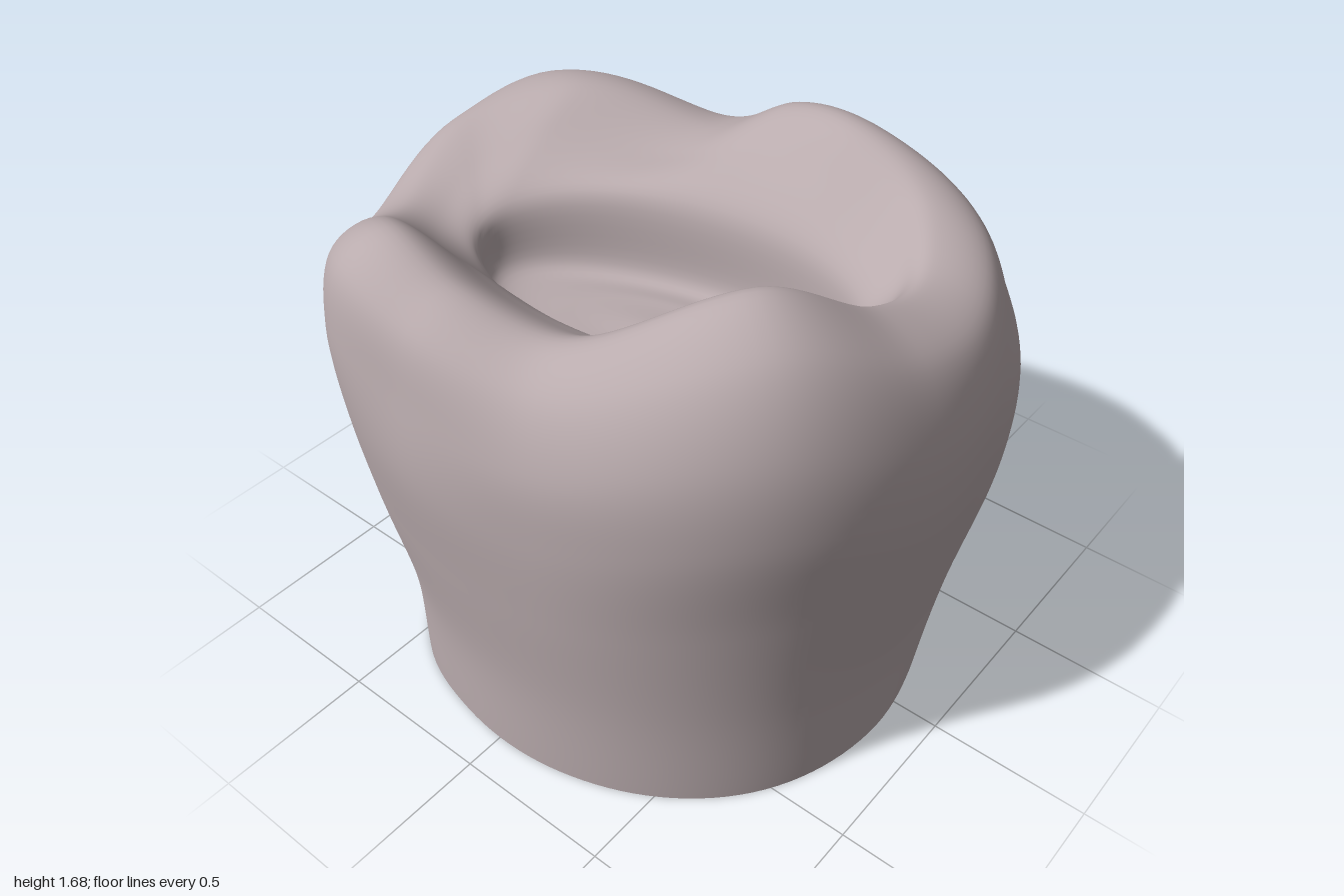
import * as THREE from 'three';

// Heights of the outer sections, as fractions of the rim height
const LEVELS = [0, 0.22, 0.45, 0.66, 0.82, 0.95, 1];

// One column per cusp or valley: angle (from +x towards +z), radius at each level, rim height
const COLUMNS = [
  [10, 0.87, 0.89, 0.95, 1.0, 0.99, 0.91, 0.74, 1.51],
  [38, 0.9, 0.92, 0.97, 1.03, 1.02, 0.92, 0.74, 1.68],
  [76, 0.88, 0.89, 0.92, 0.94, 0.93, 0.85, 0.7, 1.47],
  [100, 0.87, 0.88, 0.93, 0.97, 0.95, 0.9, 0.75, 1.53],
  [119, 0.87, 0.88, 0.95, 1.0, 1.01, 0.96, 0.8, 1.59],
  [152, 0.8, 0.82, 0.89, 0.95, 0.97, 0.94, 0.83, 1.37],
  [180, 0.8, 0.82, 0.89, 0.95, 0.995, 0.96, 0.86, 1.45],
  [203, 0.82, 0.85, 0.92, 0.99, 1.01, 0.93, 0.7, 1.54],
  [242, 0.82, 0.87, 0.93, 0.92, 0.85, 0.69, 0.5, 1.46],
  [272, 0.8, 0.88, 0.955, 0.89, 0.77, 0.62, 0.48, 1.59],
  [300, 0.81, 0.9, 0.99, 0.96, 0.84, 0.67, 0.52, 1.62],
  [329, 0.81, 0.89, 0.98, 0.99, 0.92, 0.83, 0.67, 1.54],
  [350, 0.83, 0.87, 0.93, 0.97, 0.96, 0.89, 0.73, 1.46],
];

const AROUND = 144;
const UP = 90;

// Column wrapped around the full circle, so that neighbours always exist
function columnAt(i) {
  const n = COLUMNS.length;
  const turn = Math.floor(i / n);
  const [degrees, ...values] = COLUMNS[i - turn * n];
  return { degrees: degrees + 360 * turn, values };
}

// Smooth interpolation of the column values at any angle
function valuesAt(degrees) {
  let i = -1;
  while (columnAt(i + 1).degrees <= degrees) i++;
  const [p, a, b, q] = [i - 1, i, i + 1, i + 2].map(columnAt);
  const span = b.degrees - a.degrees;
  const t = (degrees - a.degrees) / span;
  return a.values.map((va, k) => {
    const vb = b.values[k];
    const ta = (vb - p.values[k]) / (b.degrees - p.degrees) * span;
    const tb = (q.values[k] - va) / (q.degrees - a.degrees) * span;
    return va + t * (ta + t * (3 * (vb - va) - 2 * ta - tb + t * (2 * (va - vb) + ta + tb)));
  });
}

// Point on the tilted oval of the chewing basin
function basinPoint(angle, scale, y) {
  const a = 0.58 * scale * Math.cos(angle);
  const b = 0.25 * scale * Math.sin(angle);
  return new THREE.Vector3(0.02 + 0.976 * a + 0.215 * b, y, 0.12 - 0.215 * a + 0.976 * b);
}

// Smooth profile at one angle: up the wall, over the rim, down into the basin
function profileAt(degrees) {
  const angle = THREE.MathUtils.degToRad(degrees);
  const values = valuesAt(degrees);
  const rimHeight = values[LEVELS.length];
  const points = LEVELS.map((t, i) => new THREE.Vector3(
    values[i] * Math.cos(angle), t * rimHeight, values[i] * Math.sin(angle)));
  const edge = basinPoint(angle, 1.02, 1.3 - 0.08 * Math.sin(angle));
  const slope = points[points.length - 1].clone().lerp(edge, 0.5);
  slope.y += 0.02;
  points.push(slope, edge, basinPoint(angle, 0.92, 1.13), basinPoint(angle, 0.5, 1.11), basinPoint(angle, 0, 1.12));
  return new THREE.CatmullRomCurve3(points, false, 'catmullrom', 0.5).getPoints(UP);
}

function crownGeometry(grid) {
  const positions = [];
  const indices = [];
  for (let i = 0; i <= UP; i++) {
    for (let j = 0; j < AROUND; j++) positions.push(...grid[j][i].toArray());
  }
  for (let i = 0; i < UP; i++) {
    for (let j = 0; j < AROUND; j++) {
      const k = (j + 1) % AROUND;
      const a = i * AROUND + j;
      const b = i * AROUND + k;
      indices.push(a, a + AROUND, b);
      if (i < UP - 1) indices.push(b, a + AROUND, b + AROUND);
    }
  }
  const geometry = new THREE.BufferGeometry();
  geometry.setAttribute('position', new THREE.Float32BufferAttribute(positions, 3));
  geometry.setIndex(indices);
  geometry.computeVertexNormals();
  return geometry;
}

export function createModel() {
  const model = new THREE.Group();
  model.name = 'molar';
  const grid = Array.from({ length: AROUND }, (_, j) => profileAt(j * 360 / AROUND));

  // Crown with cusps and chewing basin
  const crown = new THREE.Mesh(crownGeometry(grid), new THREE.MeshStandardMaterial({ color: 0xb9abad }));
  crown.name = 'crown';
  model.add(crown);

  // Flat cut underneath
  const outline = new THREE.Shape(grid.map((profile) => new THREE.Vector2(profile[0].x, profile[0].z)));
  const base = new THREE.Mesh(
    new THREE.ShapeGeometry(outline).rotateX(Math.PI / 2),
    new THREE.MeshStandardMaterial({ color: 0xcccccc }));
  base.name = 'base';
  model.add(base);

  return model;
}
